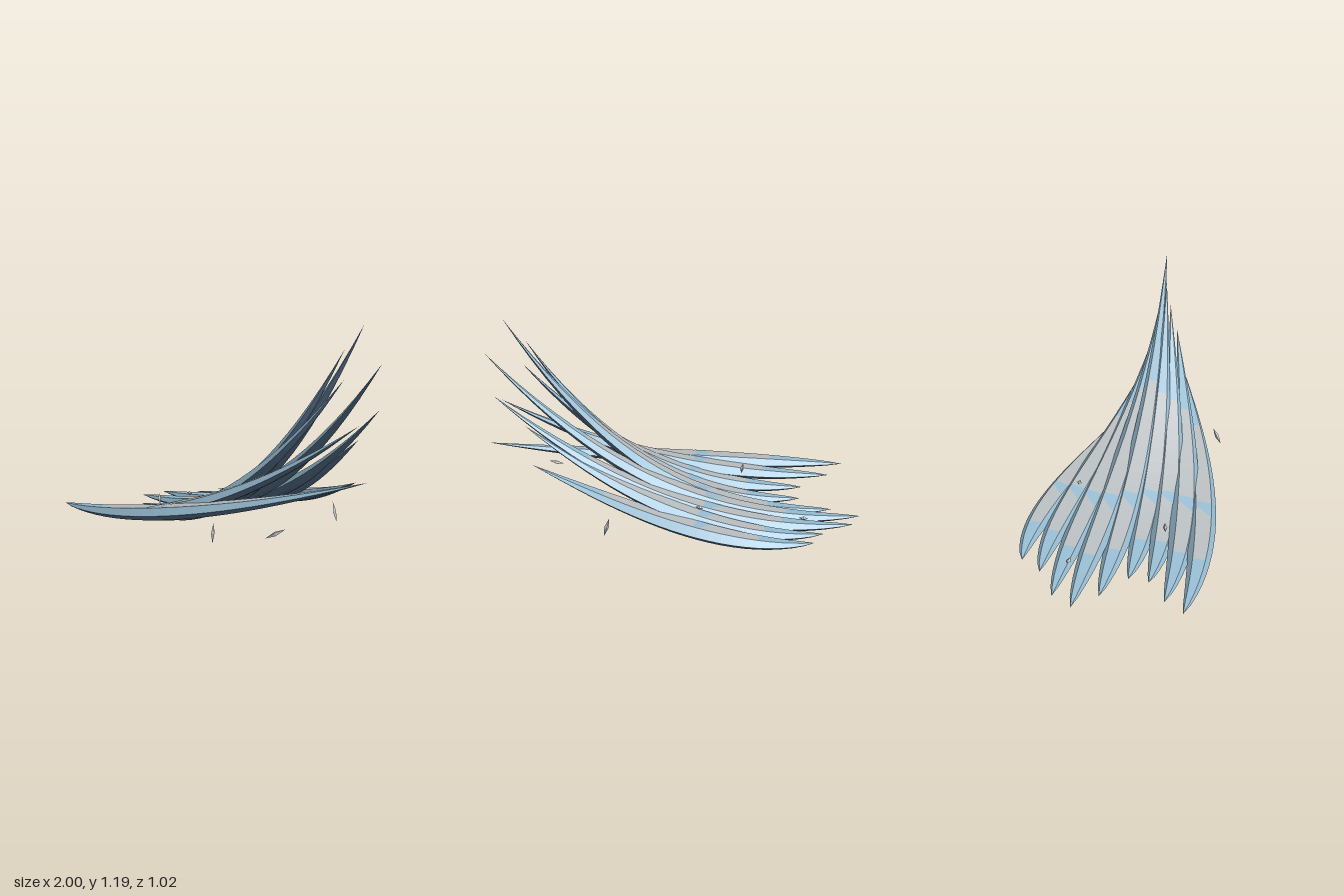
import * as THREE from 'three';

function makeMaterial(name, color) {
  const material = new THREE.MeshStandardMaterial({ color, flatShading: true });
  material.name = name;
  return material;
}
const frost = makeMaterial('frostBlue', 0x98bdd3);
const grey = makeMaterial('paleGrey', 0xb9bec1);
const slate = makeMaterial('slateBlue', 0x607d9b);
const mist = makeMaterial('mistGrey', 0xcbd2d5);

const SEGMENTS = 24;
const HALF_WIDTH = 0.072;

// cross-section as [sideways, upward], scaled along the blade
const SECTION = [
  [-0.5, 0.042], [0.65, 0.036], [1, -0.004], [0.35, -0.034], [-0.35, -0.034], [-1, 0.004],
];

// blades from back to front: tail x, tail z, tip x, tip y, tip z
const BLADES = [
  [-0.69, -0.43, 0.77, 0.39, -0.065],
  [-0.76, -0.32, 0.80, 0.61, -0.045],
  [-0.94, -0.21, 0.955, 0.78, -0.025],
  [-1.0, -0.10, 0.99, 1.01, 0.0],
  [-0.86, 0.01, 0.89, 1.19, 0.02],
  [-0.70, 0.125, 0.78, 1.06, 0.04],
  [-0.73, 0.235, 0.80, 0.92, 0.06],
  [-0.90, 0.345, 0.92, 0.71, 0.08],
  [-1.0, 0.455, 1.0, 0.45, 0.10],
];

// small floating shards: centre, long axis, length
const SHARDS = [
  [[0.13, 0.075, 0.32], [0.13, 1, 0.05], 0.115],
  [[0.39, 0.135, -0.31], [-0.28, 1, 0], 0.11],
  [[0.65, 0.18, 0.37], [0.08, 0.05, -0.055], 0.11],
  [[-0.39, 0.16, 0.255], [-0.15, 1, 0], 0.06],
  [[-0.10, 0.21, -0.27], [1, 0.2, 0.1], 0.04],
  [[-0.67, 0.075, -0.19], [1, 0.1, 0.1], 0.05],
];

function meshFrom(name, points, material) {
  const geometry = new THREE.BufferGeometry().setFromPoints(points);
  geometry.computeVertexNormals();
  const mesh = new THREE.Mesh(geometry, material);
  mesh.name = name;
  return mesh;
}

function makeBlade([x0, z0, x1, y1, z1], index) {
  const off = Math.abs(index - 4);
  const y0 = 0.012 + off * 0.0125;
  const power = 2.5 - off * off * 0.045;

  // swept centre line: bows outward at the tail, gathers and curls up at the tip
  const sway = new THREE.CubicBezierCurve(
    new THREE.Vector2(0, z0),
    new THREE.Vector2(1 / 3, z0 * 1.17 - 0.02),
    new THREE.Vector2(2 / 3, z1 + (z0 - z1) * 0.56 + 0.03),
    new THREE.Vector2(1, z1),
  );
  const centre = (t) => new THREE.Vector3(
    x0 + (x1 - x0) * t,
    y0 + (y1 - y0) * Math.pow(t, power),
    sway.getPoint(t).y,
  );
  // point on the blade surface; s is sideways, u is upward
  const at = (t, s, u, lift = 0) => {
    const tangent = centre(t + 0.005).sub(centre(Math.max(0, t - 0.005))).normalize();
    const side = new THREE.Vector3(-tangent.z, 0, tangent.x).normalize();
    const up = side.clone().cross(tangent);
    const width = Math.pow(Math.max(0, Math.sin(Math.PI * Math.pow(t, 0.8))), 0.95);
    return centre(t)
      .addScaledVector(side, s * HALF_WIDTH * width)
      .addScaledVector(up, u * width + lift);
  };

  const rings = [];
  for (let i = 0; i <= SEGMENTS; i++) {
    rings.push(SECTION.map(([s, u]) => at(i / SEGMENTS, s, u)));
  }

  const edge = [], face = [], under = [];
  for (let i = 0; i < SEGMENTS; i++) {
    for (let j = 0; j < 6; j++) {
      const k = (j + 1) % 6;
      const a = rings[i][j], b = rings[i][k], c = rings[i + 1][k], d = rings[i + 1][j];
      let target = edge;
      if (j === 0 && i >= 5 && i < 18) target = face;
      if (j >= 2 && j <= 4) target = under;
      target.push(a, b, c, a, c, d);
    }
  }

  // slanted blue fleck on the upper face
  const [p, q, r, s] = [
    at(0.415, -0.45, 0.042, 0.002), at(0.375, 0.62, 0.036, 0.002),
    at(0.43, 0.62, 0.036, 0.002), at(0.435, -0.45, 0.042, 0.002),
  ];

  const blade = new THREE.Group();
  blade.name = 'blade' + (index + 1);
  blade.add(
    meshFrom('bladeEdges', edge, frost),
    meshFrom('bladeFace', face, grey),
    meshFrom('bladeUnderside', under, slate),
    meshFrom('bladeFleck', [p, q, r, p, r, s], frost),
  );
  return blade;
}

function makeShard([position, axis, length], index) {
  const shard = new THREE.Mesh(new THREE.OctahedronGeometry(1), mist);
  shard.name = 'shard' + (index + 1);
  shard.scale.set(0.012, length / 2, 0.012);
  shard.position.fromArray(position);
  shard.quaternion.setFromUnitVectors(
    new THREE.Vector3(0, 1, 0),
    new THREE.Vector3().fromArray(axis).normalize(),
  );
  return shard;
}

export function createModel() {
  const model = new THREE.Group();
  model.name = 'sweptBladeFan';
  BLADES.forEach((blade, i) => model.add(makeBlade(blade, i)));
  SHARDS.forEach((shard, i) => model.add(makeShard(shard, i)));
  return model;
}
